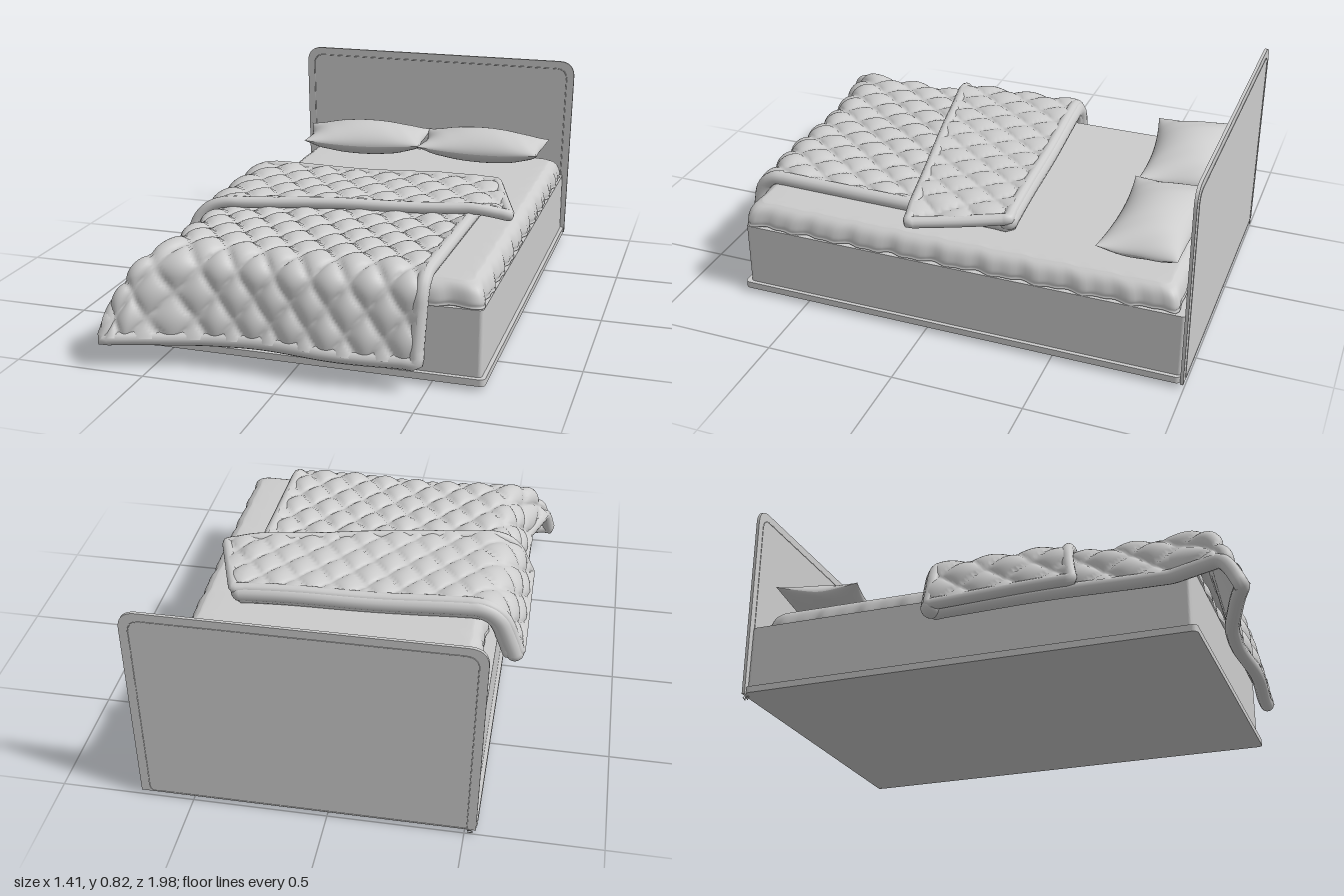
import * as THREE from 'three';

const material = new THREE.MeshStandardMaterial({ color: 0xcccccc, roughness: 0.9, side: THREE.DoubleSide });
const lerp = THREE.MathUtils.lerp;

function add(parent, name, geometry) {
  const mesh = new THREE.Mesh(geometry, material);
  mesh.name = name;
  parent.add(mesh);
  return mesh;
}

// Smooth grid surface; fn(u, v) returns a Vector3, facing du x dv
function surface(fn, nu, nv) {
  const g = new THREE.PlaneGeometry(1, 1, nu, nv);
  const pos = g.attributes.position, uv = g.attributes.uv;
  for (let i = 0; i < pos.count; i++) {
    const p = fn(uv.getX(i), uv.getY(i));
    pos.setXYZ(i, p.x, p.y, p.z);
  }
  g.computeVertexNormals();
  return g;
}

function roundedRect(x0, x1, y0, y1, r) {
  const s = new THREE.Shape();
  s.moveTo(x0 + r, y0);
  s.lineTo(x1 - r, y0);
  s.absarc(x1 - r, y0 + r, r, -Math.PI / 2, 0);
  s.lineTo(x1, y1 - r);
  s.absarc(x1 - r, y1 - r, r, 0, Math.PI / 2);
  s.lineTo(x0 + r, y1);
  s.absarc(x0 + r, y1 - r, r, Math.PI / 2, Math.PI);
  s.lineTo(x0, y0 + r);
  s.absarc(x0 + r, y0 + r, r, Math.PI, Math.PI * 1.5);
  return s;
}

// Board outline: slightly wider at the top, with rounded top corners
function boardShape(inset, r) {
  const L = -0.555 + inset, R = 0.71 - inset, top = 0.805 - inset;
  const s = new THREE.Shape();
  s.moveTo(L + 0.013, 0);
  s.lineTo(R - 0.013, 0);
  s.lineTo(R, top - r);
  s.quadraticCurveTo(R, top, R - r, top);
  s.lineTo(L + r, top);
  s.quadraticCurveTo(L, top, L, top - r);
  s.closePath();
  return s;
}

// Bend over an edge: distance past the edge -> outward travel and drop
function bend(a, angle, r = 0.1) {
  if (a <= 0) return [0, 0];
  const t = Math.min(a / r, angle), rest = Math.max(0, a - r * angle);
  return [r * Math.sin(t) + rest * Math.cos(angle), r * (1 - Math.cos(t)) + rest * Math.sin(angle)];
}

// Draped cloth: s runs across the bed, t along it, both as lengths on the cloth
function drape(s, t) {
  const [ox, dx] = bend(-0.44 - s, 1.2), [oz, dz] = bend(t - 0.70, 1.35);
  const flare = THREE.MathUtils.smoothstep(-s, 0.3, 0.69) * oz / 0.148;
  const drop = Math.pow(dx ** 4 + dz ** 4, 0.25) + Math.max(0, s - 0.5) * 0.2;
  return new THREE.Vector3(
    Math.max(s, -0.44) - ox - 0.09 * flare,
    0.39 - drop + 0.004 * Math.sin(9 * s + 2) * Math.sin(7 * t),
    Math.min(t, 0.70) + oz + 0.115 * flare + 0.06 * oz * Math.sin(11 * s));
}

// Point lifted off the cloth along its normal
function lifted(s, t, d) {
  const e = 0.004, p = drape(s, t);
  const ds = drape(s + e, t).sub(drape(s - e, t)), dt = drape(s, t + e).sub(drape(s, t - e));
  return p.addScaledVector(dt.cross(ds).normalize(), d);
}

const quilt = (s, t) => Math.sqrt(Math.abs(
  Math.sin(Math.PI * (s / 0.14 + t / 0.18)) * Math.sin(Math.PI * (s / 0.14 - t / 0.18))));

// Quilted layer over a quad [frontLeft, frontRight, backLeft, backRight] with a padded hem
function quiltLayer(parent, name, quad, lift, puff, hemRadius, nu, nv) {
  const [a, b, c, d] = quad;
  const at = (u, v) => [0, 1].map(k => lerp(lerp(a[k], b[k], u), lerp(c[k], d[k], u), v));
  add(parent, name + 'Top', surface((u, v) => {
    const [s, t] = at(u, v);
    return lifted(s, t, lift + 0.006 + puff * quilt(s, t));
  }, nu, nv));
  add(parent, name + 'Underside', surface((u, v) => lifted(...at(1 - u, v), lift - 0.012), 50, 50));
  const hem = [], n = 28;
  const corners = [[0, 0], [1, 0], [1, 1], [0, 1]];
  corners.forEach((p, i) => {
    const q = corners[(i + 1) % 4];
    for (let j = 0; j < n; j++) hem.push(lifted(...at(lerp(p[0], q[0], j / n), lerp(p[1], q[1], j / n)), lift));
  });
  add(parent, name + 'Hem', new THREE.TubeGeometry(new THREE.CatmullRomCurve3(hem, true), 300, hemRadius, 12, true));
}

// Mattress: soft profile swept round a slightly rippled outline
function mattressGeometry() {
  const cx = 0.095, cz = -0.10, hw = 0.585, hl = 0.86;
  const ring = roundedRect(-hw, hw, -hl, hl, 0.04).getSpacedPoints(320);
  const profile = new THREE.SplineCurve([[0.585, 0.277], [0.3, 0.277], [0.03, 0.277], [0.004, 0.29], [0.004, 0.315],
    [0.016, 0.345], [0.04, 0.364], [0.08, 0.37], [0.3, 0.37], [0.585, 0.37]].map(p => new THREE.Vector2(...p)));
  return surface((u, v) => {
    const p = ring[Math.round(u * 320)], q = profile.getPoint(v);
    const edge = Math.max(0, 1 - q.x / 0.08);
    const ripple = edge * (0.004 * Math.sin(p.y * 37 + p.x * 29) + 0.003 * Math.sin(p.y * 71 - p.x * 53));
    const d = Math.min(hw, q.x + ripple + 0.004 * edge);
    return new THREE.Vector3(cx + p.x * (hw - d) / hw, q.y + ripple * 0.5, cz - p.y * (hl - d) / hl);
  }, 320, 36);
}

// Pillow: two puffed faces meeting at a pinched seam; corners FL, FR, BL, BR as [x, z]
function pillow(parent, name, [a, b, c, d]) {
  const g = new THREE.Group();
  g.name = name;
  for (const side of [1, -1]) {
    add(g, side > 0 ? 'pillowTop' : 'pillowUnderside', surface((u, v) => {
      if (side < 0) u = 1 - u;
      const p = Math.sin((u - 0.5) * Math.PI), q = Math.sin((v - 0.5) * Math.PI);
      const U = (p * (1 - 0.06 * (1 - q * q)) + 1) / 2, V = (q * (1 - 0.1 * (1 - p * p)) + 1) / 2;
      const bulge = Math.pow((1 - p * p) * (1 - q * q), 0.55);
      const crease = 0.003 * Math.sin(p * 14 + q * 5) * p * p * (1 - q * q);
      return new THREE.Vector3(
        lerp(lerp(a[0], b[0], U), lerp(c[0], d[0], U), V),
        0.435 + 0.02 * p * p * q * q + side * bulge * (side > 0 ? 0.084 : 0.062) + crease,
        lerp(lerp(a[1], b[1], U), lerp(c[1], d[1], U), V));
    }, 44, 36));
  }
  parent.add(g);
}

export function createModel() {
  const model = new THREE.Group();
  model.name = 'bed';

  // Frame and plinth, extruded upwards from rounded plans
  const slab = (name, x0, x1, z1, y0, y1, r) => {
    const g = new THREE.ExtrudeGeometry(roundedRect(x0, x1, -z1, 0.986, r),
      { depth: y1 - y0, bevelEnabled: false, curveSegments: 8 });
    g.rotateX(-Math.PI / 2).translate(0, y0, 0);
    add(model, name, g);
  };
  slab('plinth', -0.545, 0.695, 0.77, 0, 0.026, 0.02);
  slab('frame', -0.53, 0.68, 0.752, 0.026, 0.277, 0.015);

  // Headboard with a stitched seam on both faces
  const board = new THREE.ExtrudeGeometry(boardShape(0, 0.07), { depth: 0.012, bevelEnabled: false, curveSegments: 12 });
  add(model, 'headboard', board.translate(0, 0, -0.998));
  const seam = boardShape(0.033, 0.045).getSpacedPoints(120);
  for (const z of [-0.986, -0.998]) {
    const path = new THREE.CatmullRomCurve3(seam.map(p => new THREE.Vector3(p.x, Math.max(p.y, 0.004), z)), true);
    add(model, 'headboardSeam', new THREE.TubeGeometry(path, 240, 0.002, 5, true));
  }

  add(model, 'mattress', mattressGeometry());

  pillow(model, 'rightPillow', [[-0.44, -0.59], [0.085, -0.645], [-0.51, -0.91], [0.06, -0.965]]);
  pillow(model, 'leftPillow', [[0.075, -0.63], [0.615, -0.63], [0.045, -0.965], [0.62, -0.93]]);

  // Duvet draped over the foot and one side, its head end folded back
  const duvet = new THREE.Group();
  duvet.name = 'duvet';
  model.add(duvet);
  const backLeft = [-0.69, -0.20], backRight = [0.49, -0.26];
  quiltLayer(duvet, 'duvet', [[-0.69, 1.06], [0.465, 1.06], backLeft, backRight], 0, 0.026, 0.027, 120, 130);
  quiltLayer(duvet, 'foldedDuvet', [[-0.68, 0.34], [0.625, 0.08], backLeft, [0.505, -0.265]], 0.043, 0.02, 0.023, 120, 60);

  // Rolled edge where the duvet folds over
  const roll = [];
  for (let i = 0; i <= 30; i++) {
    roll.push(lifted(lerp(backLeft[0], backRight[0], i / 30), lerp(backLeft[1], backRight[1], i / 30), 0.022));
  }
  add(duvet, 'foldRoll', new THREE.TubeGeometry(new THREE.CatmullRomCurve3(roll), 90, 0.038, 14));
  for (const end of [roll[0], roll[30]]) {
    add(duvet, 'foldRollEnd', new THREE.SphereGeometry(0.038, 16, 12)).position.copy(end);
  }
  return model;
}
